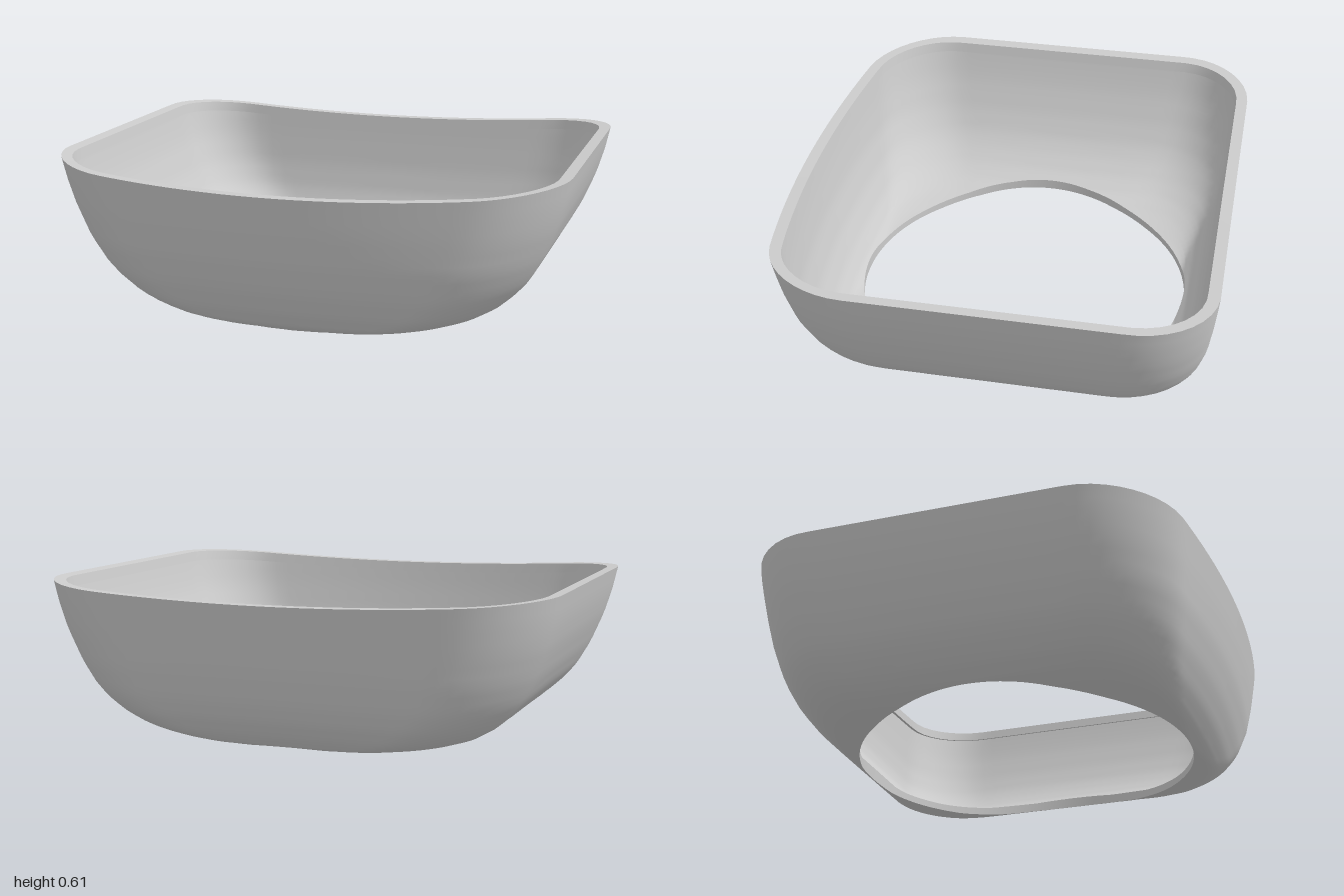
import * as THREE from 'three';

const SEG = 144, HOLE = 0.67, CZ = -0.025;

// Wall profiles as [height, half-extent] pairs
const SIDE = [[0, 0.2], [0.006, 0.35], [0.015, 0.5], [0.032, 0.6], [0.06, 0.68], [0.1, 0.745], [0.155, 0.805],
  [0.21, 0.85], [0.3, 0.9], [0.42, 0.95], [0.52, 0.98], [0.612, 1], [0.7, 1.02]];
const FRONT = [[0, 0.6], [0.003, 0.645], [0.03, 0.69], [0.09, 0.735], [0.18, 0.78], [0.3, 0.82], [0.43, 0.845],
  [0.56, 0.865], [0.7, 0.885]];
const BACK = [[0, 0.65], [0.02, 0.705], [0.06, 0.745], [0.12, 0.785], [0.19, 0.812], [0.3, 0.835], [0.43, 0.85],
  [0.57, 0.863], [0.7, 0.87]];

function lookup(table, y) {
  if (y <= 0) return table[0][1];
  for (let i = 1; i < table.length; i++) {
    const [y0, v0] = table[i - 1], [y1, v1] = table[i];
    if (y <= y1) return v0 + (v1 - v0) * (y - y0) / (y1 - y0);
  }
  return table[table.length - 1][1];
}

// Signed distance to the rounded-square outline at height y, with a bowed front
function outline(x, z, y) {
  const X = lookup(SIDE, y), Z = lookup(z > 0 ? FRONT : BACK, y);
  const R = Math.min(0.3, X, Z);
  const zz = z > 0 ? z + 0.13 * x * x : -z;
  const dx = Math.abs(x) - X + R, dz = zz - Z + R;
  return Math.hypot(Math.max(dx, 0), Math.max(dz, 0)) + Math.min(Math.max(dx, dz), 0) - R;
}

function bisect(lo, hi, isBelow) {
  for (let i = 0; i < 36; i++) {
    const mid = (lo + hi) / 2;
    if (isBelow(mid)) lo = mid; else hi = mid;
  }
  return (lo + hi) / 2;
}

const rimHeight = x => 0.562 + 0.05 * x * x;
const at = (a, r, y) => [r * Math.cos(a), y, CZ + r * Math.sin(a)];

// Point on a wall (inset by off, raised by lift) whose height is given by heightAt(x)
function wallPoint(a, off, lift, heightAt) {
  const r = bisect(0.3, 1.7, q => {
    const [x, , z] = at(a, q, 0);
    return outline(x, z, heightAt(x) - lift) + off < 0;
  });
  return at(a, r, heightAt(r * Math.cos(a)));
}

// Point where a wall meets the round floor opening
function holePoint(a, off, lift) {
  const [x, , z] = at(a, HOLE, 0);
  return at(a, HOLE, bisect(0, 0.5, y => outline(x, z, y - lift) + off > 0));
}

const ring = fn => Array.from({ length: SEG }, (_, i) => fn(i / SEG * Math.PI * 2));

// Rings of one wall from the opening up to its top edge
function wallRings(off, lift, topAt, steps) {
  const bottom = ring(a => holePoint(a, off, lift));
  const top = ring(a => wallPoint(a, off, lift, topAt));
  const rings = [bottom];
  for (let k = 1; k < steps; k++) {
    const s = Math.pow(k / steps, 1.8);
    rings.push(bottom.map((b, i) => {
      const y = b[1] + (top[i][1] - b[1]) * s;
      return wallPoint(i / SEG * Math.PI * 2, off, lift, () => y);
    }));
  }
  rings.push(top);
  return rings;
}

// Closed band skinned over successive rings
function band(name, rings, material) {
  const index = [];
  for (let k = 0; k < rings.length - 1; k++) {
    for (let i = 0; i < SEG; i++) {
      const j = (i + 1) % SEG, a = k * SEG, b = a + SEG;
      index.push(a + i, b + i, a + j, a + j, b + i, b + j);
    }
  }
  const geo = new THREE.BufferGeometry();
  geo.setAttribute('position', new THREE.Float32BufferAttribute(rings.flat(2), 3));
  geo.setIndex(index);
  geo.computeVertexNormals();
  const mesh = new THREE.Mesh(geo, material);
  mesh.name = name;
  return mesh;
}

export function createModel() {
  const group = new THREE.Group();
  group.name = 'openBowl';
  const material = new THREE.MeshStandardMaterial({ color: 0xcccccc });
  const lipBase = x => rimHeight(x) - 0.04;

  const outer = wallRings(0, 0, rimHeight, 22);
  const inner = wallRings(0.032, 0.025, lipBase, 22).reverse();
  const lipTop = ring(a => wallPoint(a, 0.046, 0, rimHeight));
  const lipBottom = ring(a => wallPoint(a, 0.046, 0, lipBase));

  group.add(
    band('outerWall', outer, material),
    band('topRim', [outer[outer.length - 1], lipTop], material),
    band('innerLip', [lipTop, lipBottom], material),
    band('lipUnderside', [lipBottom, inner[0]], material),
    band('innerWall', inner, material),
    band('floorOpeningEdge', [inner[inner.length - 1], outer[0]], material),
  );
  return group;
}
